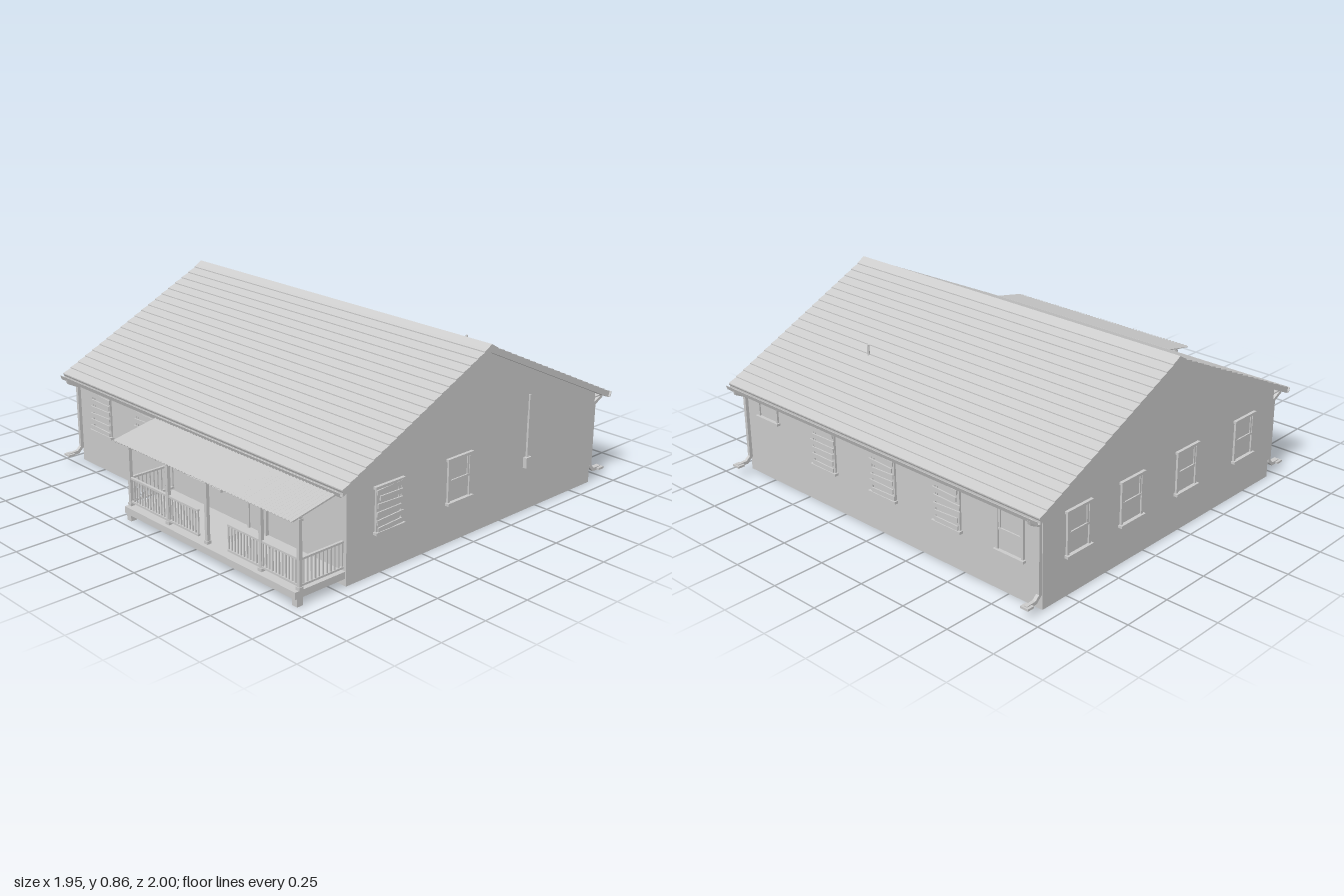
import * as THREE from 'three';

const mat = new THREE.MeshStandardMaterial({ color: 0xcccccc, flatShading: true, side: THREE.DoubleSide });

function add(parent, name, geo) {
  const m = new THREE.Mesh(geo, mat);
  m.name = name;
  parent.add(m);
  return m;
}

// box given by its centre and size
function box(parent, name, x, y, z, w, h, d) {
  const m = add(parent, name, new THREE.BoxGeometry(w, h, d));
  m.position.set(x, y, z);
  return m;
}

// square bar between two points
function bar(parent, name, a, b, w, h = w) {
  const p = new THREE.Vector3(...a), q = new THREE.Vector3(...b);
  const m = add(parent, name, new THREE.BoxGeometry(w, h, p.distanceTo(q) + w * 0.5));
  m.position.copy(p).lerp(q, 0.5);
  m.lookAt(q);
  return m;
}

// extrude a [z, y] outline along x, between x0 and x1
function extrudeX(parent, name, pts, x0, x1) {
  const shape = new THREE.Shape(pts.map(p => new THREE.Vector2(p[0], p[1])));
  const geo = new THREE.ExtrudeGeometry(shape, { depth: x1 - x0, bevelEnabled: false });
  geo.rotateY(-Math.PI / 2).translate(x1, 0, 0);
  return add(parent, name, geo);
}

let seed = 7;
const rand = () => (seed = (seed * 16807) % 2147483647) / 2147483647 - 0.5;

// window on a wall whose local +z points outwards
function addWindow(wall, u, y0, y1, w, boarded) {
  const g = new THREE.Group();
  g.name = boarded ? 'boardedWindow' : 'sashWindow';
  g.position.set(u, (y0 + y1) / 2, 0);
  wall.add(g);
  const h = y1 - y0, t = 0.012;
  for (const s of [-1, 1]) {
    box(g, 'windowJamb', s * (w - t) / 2, 0, 0.004, t, h, 0.012);
  }
  box(g, 'windowHead', 0, h / 2, 0.006, w + 0.015, t, 0.018);
  box(g, 'windowSill', 0, -h / 2, 0.008, w + 0.015, t, 0.024);
  box(g, 'windowPane', 0, 0, 0.001, w - t, h - t, 0.003);
  if (h > 0.1) {
    box(g, 'meetingRail', 0, 0, 0.004, w - t, 0.01, 0.01);
    for (const s of [-1, 1]) box(g, 'upperStile', s * (w / 2 - 0.018), h / 4, 0.003, 0.01, h / 2, 0.008);
  }
  if (boarded) {
    for (let i = 0; i < 6; i++) {
      const b = box(g, 'board', rand() * 0.015, -h / 2 + (i + 0.5) * h / 6, 0.013, w - 0.01 + rand() * 0.03, 0.021, 0.006);
      b.rotation.z = rand() * 0.12;
    }
  }
}

export function createModel() {
  const house = new THREE.Group();
  house.name = 'house';
  const X = 0.935, ZF = 0.70, ZB = -0.90, RIDGE = -0.1;

  // foundation, walls and gables
  extrudeX(house, 'foundation', [[ZB + 0.004, 0], [ZF - 0.004, 0], [ZF - 0.004, 0.1], [ZB + 0.004, 0.1]], -X + 0.004, X - 0.004);
  extrudeX(house, 'walls', [[ZB, 0.09], [ZF, 0.09], [ZF, 0.455], [RIDGE, 0.832], [ZB, 0.455]], -X, X);
  for (const s of [-1, 1]) {
    extrudeX(house, 'gablePanel', [[ZB, 0.46], [ZF, 0.46], [RIDGE, 0.83]], s * X - 0.004, s * X + 0.004);
  }

  // shingled roof: one stepped outline for both slopes
  const courses = 20, half = 0.86, top = 0.855, eave = 0.448, step = 0.005;
  const slope = [];
  for (let i = 0; i < courses; i++) {
    const k = (i + 1) / courses;
    const y = top + (eave - top) * k;
    slope.push([half * k, y + step], [half * k, y]);
  }
  const right = slope.map(([d, y]) => [RIDGE + d, y]);
  const left = slope.map(([d, y]) => [RIDGE - d, y]).reverse();
  extrudeX(house, 'shingleRoof', [...left, [RIDGE, top + step], ...right,
    [RIDGE + half - 0.012, eave - 0.022], [RIDGE, 0.826], [RIDGE - half + 0.012, eave - 0.022]], -0.972, 0.972);
  extrudeX(house, 'ridgeCap', [[RIDGE - 0.03, 0.846], [RIDGE, 0.864], [RIDGE + 0.03, 0.846], [RIDGE, 0.852]], -0.973, 0.973);
  const pipe = add(house, 'ventPipe', new THREE.CylinderGeometry(0.006, 0.006, 0.07, 10));
  pipe.position.set(0.42, 0.645, -0.575);

  // gutters, soffits and downspouts
  for (const s of [-1, 1]) {
    const z = d => RIDGE + s * (half + d);
    extrudeX(house, 'gutter', [[z(-0.008), 0.447], [z(-0.008), 0.424], [z(0.01), 0.424], [z(0.018), 0.445],
      [z(0.015), 0.445], [z(0.008), 0.427], [z(-0.005), 0.427], [z(-0.005), 0.447]], -0.972, 0.972);
    extrudeX(house, 'soffit', [[z(-0.062), 0.43], [z(-0.008), 0.43], [z(-0.008), 0.424], [z(-0.062), 0.424]], -X, X);
  }
  for (const [x, s] of [[-0.925, 1], [-0.925, -1], [0.92, -1]]) {
    const w = s > 0 ? ZF : ZB;
    const path = [[x, 0.428, w + s * 0.064], [x, 0.415, w + s * 0.06], [x, 0.39, w + s * 0.01],
      [x, 0.075, w + s * 0.01], [x, 0.052, w + s * 0.035], [x, 0.05, w + s * 0.085]];
    for (let i = 0; i < path.length - 1; i++) bar(house, 'downspout', path[i], path[i + 1], 0.016);
    box(house, 'downspoutOutlet', x, 0.05, w + s * 0.08, 0.042, 0.01, 0.036);
  }

  // one frame per wall, local +z pointing outwards
  const wall = (name, x, z, ry) => {
    const g = new THREE.Group();
    g.name = name;
    g.position.set(x, 0, z);
    g.rotation.y = ry;
    house.add(g);
    return g;
  };
  const front = wall('frontWall', 0, ZF, 0), back = wall('backWall', 0, ZB, Math.PI);
  const sideL = wall('leftWall', X, 0, Math.PI / 2), sideR = wall('rightWall', -X, 0, -Math.PI / 2);

  for (const u of [-0.74, -0.39]) addWindow(front, u, 0.19, 0.39, 0.155, true);
  addWindow(front, 0.045, 0.18, 0.37, 0.23, false);
  addWindow(sideL, -0.465, 0.19, 0.39, 0.155, true);
  addWindow(sideL, -0.04, 0.19, 0.39, 0.145, false);
  for (const u of [-0.69, -0.35, 0.03, 0.46]) addWindow(sideR, u, 0.19, 0.39, 0.145, false);
  addWindow(back, -0.76, 0.31, 0.39, 0.14, false);
  for (const u of [-0.37, 0.02, 0.41]) addWindow(back, u, 0.19, 0.39, 0.155, true);
  addWindow(back, 0.765, 0.19, 0.39, 0.15, false);

  // electric meter with conduit
  box(sideL, 'meterBox', 0.41, 0.24, 0.01, 0.034, 0.05, 0.02);
  box(sideL, 'meterConduit', 0.41, 0.41, 0.007, 0.008, 0.3, 0.01);

  // front door
  box(front, 'doorPanel', 0.4, 0.215, 0.003, 0.1, 0.29, 0.008);
  for (const s of [-1, 1]) box(front, 'doorJamb', 0.4 + s * 0.056, 0.215, 0.006, 0.012, 0.3, 0.016);
  box(front, 'doorHead', 0.4, 0.366, 0.006, 0.13, 0.012, 0.018);

  // porch deck and feet
  const porch = new THREE.Group();
  porch.name = 'porch';
  house.add(porch);
  const PX0 = -0.2, PX1 = 0.93, PZ = 0.94;
  box(porch, 'porchDeck', (PX0 + PX1) / 2, 0.052, 0.835, PX1 - PX0, 0.032, 0.27);
  for (const x of [PX0 + 0.015, PX1 - 0.015]) box(porch, 'porchFoot', x, 0.018, 0.945, 0.03, 0.036, 0.03);

  // posts and beam
  for (const x of [-0.19, 0.085, 0.35, 0.695, 0.922]) {
    box(porch, 'porchPost', x, 0.22, PZ, 0.016, 0.31, 0.016);
    box(porch, 'postBase', x, 0.075, PZ, 0.022, 0.014, 0.022);
    box(porch, 'postCap', x, 0.368, PZ, 0.022, 0.01, 0.022);
  }
  box(porch, 'porchBeam', 0.366, 0.376, PZ, 1.13, 0.014, 0.018);

  // railings along the front and both ends
  const railing = (x0, z0, x1, z1) => {
    for (const y of [0.2, 0.087]) bar(porch, 'rail', [x0, y, z0], [x1, y, z1], 0.012, 0.009);
    const n = Math.round(Math.hypot(x1 - x0, z1 - z0) / 0.02);
    for (let i = 0; i <= n; i++) {
      box(porch, 'baluster', x0 + (x1 - x0) * i / n, 0.143, z0 + (z1 - z0) * i / n, 0.006, 0.11, 0.006);
    }
  };
  railing(-0.185, PZ, 0.29, PZ);
  railing(0.49, PZ, 0.92, PZ);
  for (const x of [-0.19, 0.922]) railing(x, ZF + 0.01, x, PZ);

  // corrugated porch roof on rafters
  const x0 = -0.225, x1 = 0.94, waves = 58, over = [], under = [];
  for (let i = 0; i <= waves * 2; i++) {
    const x = x0 + (x1 - x0) * i / (waves * 2), y = i % 2 ? 0.007 : 0;
    over.push(new THREE.Vector2(x, y));
    under.unshift(new THREE.Vector2(x, y - 0.003));
  }
  const drop = 0.06, run = 0.3;
  const sheet = add(porch, 'corrugatedPorchRoof', new THREE.ExtrudeGeometry(new THREE.Shape([...over, ...under]),
    { depth: Math.hypot(run, drop), bevelEnabled: false }));
  sheet.position.set(0, 0.441, ZF);
  sheet.rotation.x = Math.atan2(drop, run);
  for (let i = 0; i < 7; i++) {
    const x = -0.19 + i * 1.112 / 6;
    bar(porch, 'porchRafter', [x, 0.429, ZF + 0.01], [x, 0.377, 0.975], 0.012, 0.014);
  }
  return house;
}
